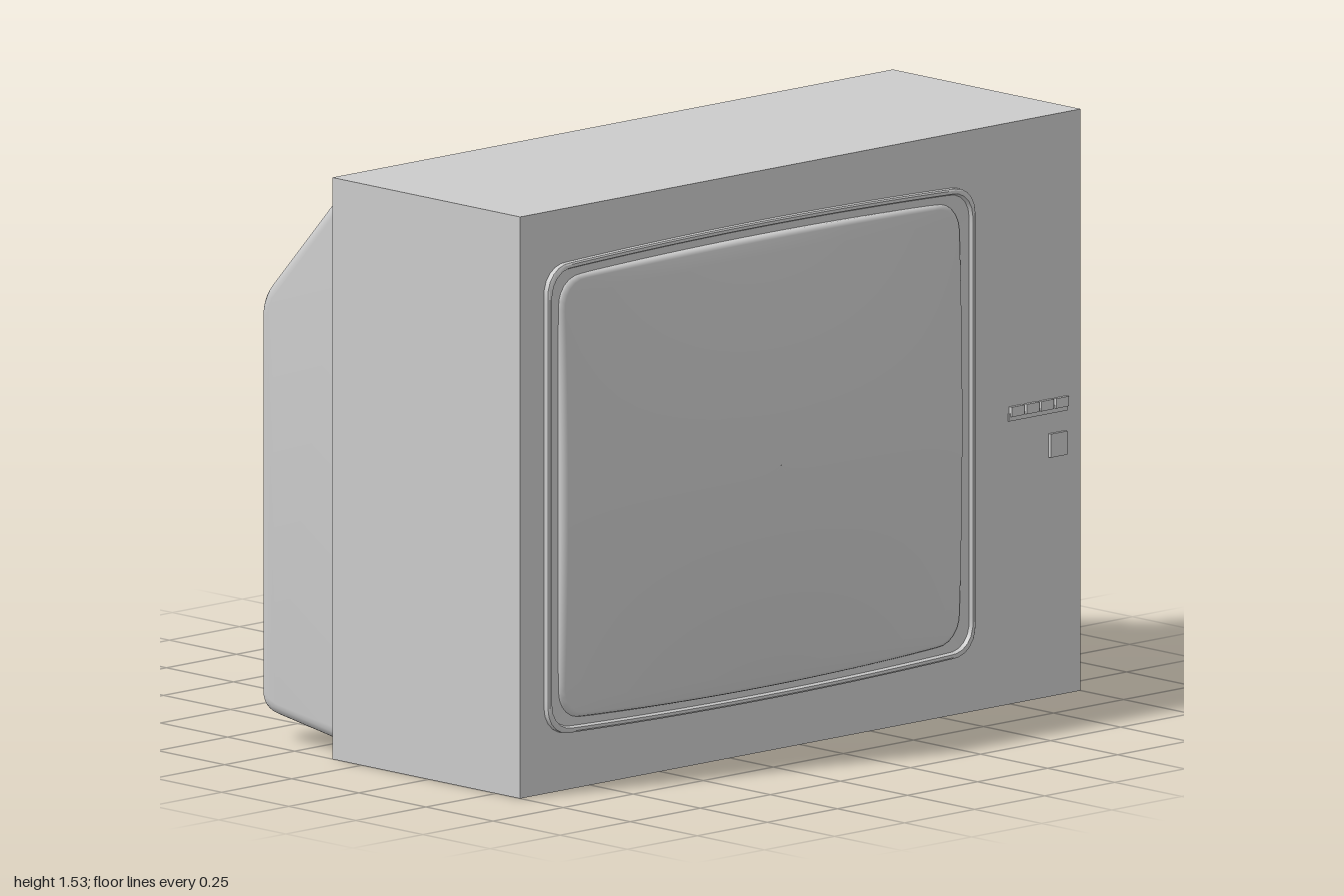
import * as THREE from 'three';
import { toCreasedNormals } from 'three/addons/utils/BufferGeometryUtils.js';

const material = new THREE.MeshStandardMaterial({ color: 0xcccccc });

function add(group, name, geometry) {
  const mesh = new THREE.Mesh(geometry, material);
  mesh.name = name;
  group.add(mesh);
  return mesh;
}

// Box given by its limits on each axis
function box(group, name, [x0, x1], [y0, y1], [z0, z1]) {
  const mesh = add(group, name, new THREE.BoxGeometry(x1 - x0, y1 - y0, z1 - z0));
  mesh.position.set((x0 + x1) / 2, (y0 + y1) / 2, (z0 + z1) / 2);
}

// Rounded rectangle around the origin, its top and bottom bowed outwards
function roundedLoop(hw, hh, r, bow) {
  const s = new THREE.Shape();
  s.absarc(hw - r, hh - r, r, 0, Math.PI / 2);
  s.absarc(-hw + r, hh - r, r, Math.PI / 2, Math.PI);
  s.absarc(-hw + r, -hh + r, r, Math.PI, Math.PI * 1.5);
  s.absarc(hw - r, -hh + r, r, Math.PI * 1.5, Math.PI * 2);
  s.closePath();
  return s.getSpacedPoints(240).slice(0, -1).map(p => {
    p.y += bow * (p.y / hh) * (1 - (p.x / hw) ** 2);
    return p;
  });
}

// Skin between equal-length loops of Vector3
function loft(loops) {
  const n = loops[0].length, index = [];
  for (let k = 0; k < loops.length - 1; k++) {
    for (let i = 0; i < n; i++) {
      const j = (i + 1) % n, a = k * n, b = a + n;
      index.push(a + i, a + j, b + j, a + i, b + j, b + i);
    }
  }
  const g = new THREE.BufferGeometry().setFromPoints(loops.flat());
  g.setIndex(index);
  g.computeVertexNormals();
  return g;
}

// Side profile of (depth behind z = 0, height), extruded between two x positions
function sideExtrude(shape, x0, x1, bevel = 0) {
  const g = new THREE.ExtrudeGeometry(shape, {
    depth: x1 - x0 - 2 * bevel, curveSegments: 6, bevelEnabled: bevel > 0,
    bevelThickness: bevel, bevelSize: bevel, bevelOffset: -bevel, bevelSegments: 5,
  });
  g.rotateY(Math.PI / 2).translate(x0 + bevel, 0, 0);
  return toCreasedNormals(g, 0.5);
}

export function createModel() {
  const tv = new THREE.Group();
  tv.name = 'television';

  // Cabinet and stepped back plate
  box(tv, 'cabinet', [-1, 1], [0, 1.53], [-0.11, 0.59]);
  box(tv, 'backPlate', [-0.98, 0.98], [0.02, 1.51], [-0.12, -0.1]);
  box(tv, 'backPlateStep', [-0.965, 0.965], [0.035, 1.497], [-0.127, -0.1]);

  // Screen surround: raised lip with a lower band inside it
  const surround = [[0, 0.58], [0, 0.605], [0.004, 0.608], [0.012, 0.608], [0.016, 0.598], [0.06, 0.595]];
  const rim = loft(surround.map(([inset, z]) =>
    roundedLoop(0.7625 - inset, 0.615 - inset, 0.07 - inset * 0.4, 0.015)
      .map(p => new THREE.Vector3(p.x, p.y, z))));
  add(tv, 'screenSurround', toCreasedNormals(rim, 0.6)).position.set(-0.1525, 0.77, 0);

  // Domed picture tube
  const hw = 0.715, hh = 0.58;
  const edge = roundedLoop(hw, hh, 0.07, 0.015);
  const dome = (x, y) => 0.595 + 0.085 * (1 - 0.75 * (x / hw) ** 2) * (1 - 0.65 * (y / hh) ** 2);
  const screenLoops = [edge.map(p => new THREE.Vector3(p.x, p.y, 0.58))];
  for (const [scale, drop] of [[1, 0.012], [0.994, 0.004], [0.98, 0]]) {
    screenLoops.push(edge.map(p => new THREE.Vector3(
      p.x * scale, p.y * scale, dome(p.x * scale, p.y * scale) - drop)));
  }
  for (let k = 11; k >= 0; k--) {
    const scale = Math.max(k / 12, 0.001);
    screenLoops.push(edge.map(p => new THREE.Vector3(
      p.x * scale, p.y * scale, dome(p.x * scale, p.y * scale))));
  }
  add(tv, 'screen', loft(screenLoops)).position.set(-0.155, 0.77, 0);

  // Front controls
  box(tv, 'controlStrip', [0.74, 0.95], [0.745, 0.765], [0.58, 0.594]);
  for (let i = 0; i < 4; i++) {
    const x = 0.745 + i * 0.053;
    box(tv, 'controlKey', [x, x + 0.045], [0.757, 0.783], [0.58, 0.6]);
  }
  box(tv, 'powerButton', [0.885, 0.945], [0.63, 0.692], [0.58, 0.599]);

  // Rear housing with sloped top and rounded edges
  const profile = new THREE.Shape();
  profile.moveTo(0.05, 0.03);
  profile.lineTo(0.12, 0.03);
  profile.lineTo(0.37, 0.068);
  profile.quadraticCurveTo(0.43, 0.075, 0.43, 0.13);
  profile.lineTo(0.43, 1.11);
  profile.quadraticCurveTo(0.43, 1.16, 0.395, 1.2);
  profile.lineTo(0.12, 1.5);
  profile.lineTo(0.05, 1.5);
  add(tv, 'rearHousing', sideExtrude(profile, -0.96, 0.645, 0.035));

  // Ledge over the tube neck
  const ledge = new THREE.Shape([[0.28, 1.31], [0.28, 1.1], [0.43, 1.1], [0.43, 1.245]]
    .map(p => new THREE.Vector2(...p)));
  add(tv, 'neckLedge', sideExtrude(ledge, -0.39, 0.075));

  // Tapered tube neck cover
  const neck = new THREE.BoxGeometry(1, 1, 0.28);
  const np = neck.attributes.position;
  for (let i = 0; i < np.count; i++) {
    const back = np.getZ(i) < 0;
    np.setX(i, np.getX(i) * (back ? 0.305 : 0.38));
    np.setY(i, np.getY(i) * (back ? 0.31 : 0.392));
  }
  neck.computeVertexNormals();
  add(tv, 'tubeNeck', neck).position.set(-0.1575, 1.05, -0.54);

  // Wedge-shaped access panel beside the housing
  const wedge = new THREE.Shape([[0.6, 0.1], [0.95, 0.1], [0.95, 0.135], [0.6, 0.17]]
    .map(p => new THREE.Vector2(...p)));
  const panel = new THREE.ExtrudeGeometry(wedge, { depth: 1.12, bevelEnabled: false });
  panel.rotateX(-Math.PI / 2).translate(0, 0.23, 0);
  add(tv, 'accessPanel', panel);

  return tv;
}
